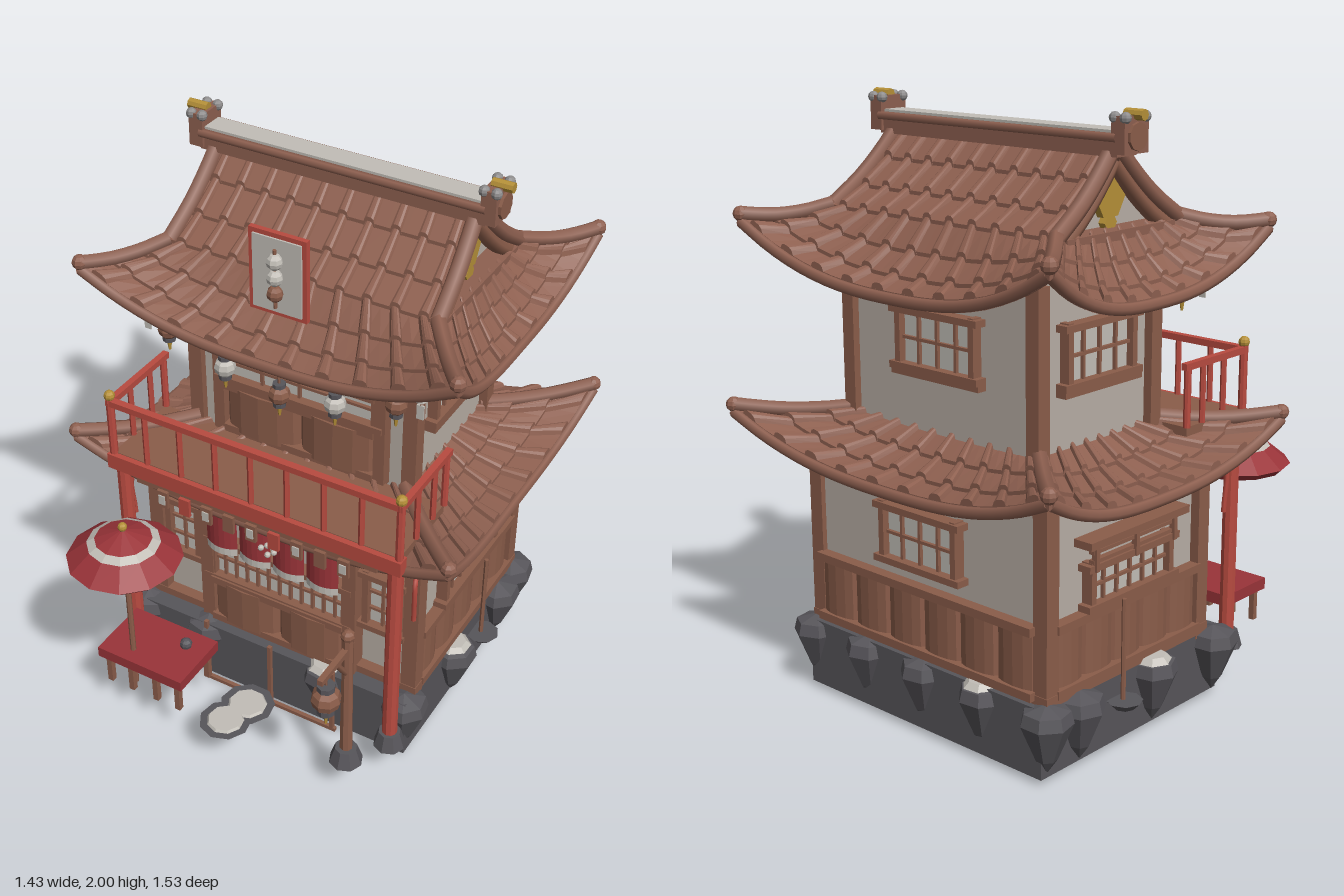
import * as THREE from 'three';

const mat = (name, color, double) => {
  const m = new THREE.MeshStandardMaterial({ color });
  m.name = name;
  if (double) m.side = THREE.DoubleSide;
  return m;
};
const M = {
  roof: mat('roofTile', 0x8e6050, true), wood: mat('wood', 0x8b5d4a), plaster: mat('plaster', 0xb8aea5, true),
  red: mat('redPaint', 0xb84b40), crimson: mat('crimsonCloth', 0x9a3439, true), gold: mat('gold', 0xb59038),
  stone: mat('darkStone', 0x57555a), grey: mat('greyStone', 0x8d8b8b), pale: mat('pale', 0xc2beb7, true),
};
const V = (x, y, z) => new THREE.Vector3(x, y, z);

function flat(geo) {
  const g = geo.index ? geo.toNonIndexed() : geo;
  g.computeVertexNormals();
  return g;
}
function add(parent, name, geo, m, x = 0, y = 0, z = 0) {
  const mesh = new THREE.Mesh(geo, m);
  mesh.name = name;
  mesh.position.set(x, y, z);
  parent.add(mesh);
  return mesh;
}
const group = (parent, name, x = 0, y = 0, z = 0, ry = 0) => {
  const g = new THREE.Group();
  g.name = name; g.position.set(x, y, z); g.rotation.y = ry;
  parent.add(g);
  return g;
};
const box = (p, n, m, w, h, d, x, y, z) => add(p, n, new THREE.BoxGeometry(w, h, d), m, x, y, z);
const ball = (p, n, m, r, x, y, z) => add(p, n, flat(new THREE.SphereGeometry(r, 8, 6)), m, x, y, z);
const cyl = (p, n, m, r0, r1, h, x, y, z, sides = 8) =>
  add(p, n, flat(new THREE.CylinderGeometry(r1, r0, h, sides)), m, x, y, z);
const tube = (p, n, m, pts, r, seg = 8) =>
  add(p, n, new THREE.TubeGeometry(new THREE.CatmullRomCurve3(pts), seg, r, 6), m);
const lathe = (p, n, m, pts, sides, x, y, z) =>
  add(p, n, flat(new THREE.LatheGeometry(pts.map(a => new THREE.Vector2(...a)), sides)), m, x, y, z);

// Flat-shaded sheet through rows of points: f(u, row), u from -1 to 1
function sheet(f, nu, rows) {
  const pos = [], idx = [];
  for (let j = 0; j < rows; j++) for (let i = 0; i <= nu; i++) pos.push(...f(-1 + 2 * i / nu, j).toArray());
  for (let j = 0; j < rows - 1; j++) for (let i = 0; i < nu; i++) {
    const a = j * (nu + 1) + i, b = a + nu + 1;
    idx.push(a, b, a + 1, a + 1, b, b + 1);
  }
  const g = new THREE.BufferGeometry();
  g.setAttribute('position', new THREE.Float32BufferAttribute(pos, 3));
  g.setIndex(idx);
  return flat(g);
}
// Overlapping tile courses: [v, lift], then the underside
const courses = [[0, 0], [.33, .012], [.33, 0], [.67, .012], [.67, 0], [1, .012], [1, -.028], [.5, -.028], [0, -.028]];

// Raised cover tiles in three overlapping, flaring courses down a slope
function coverTiles(p, slope, u, half) {
  for (let c = 0; c < 3; c++) {
    const rows = [[c / 3, 0], [c / 3, .018], [(c + 1) / 3, .032], [(c + 1) / 3, 0]];
    add(p, 'coverTile', sheet((t, j) => slope(u + half * t * (j > 1 ? 1.15 : .85), rows[j][0],
      rows[j][1] * (1 - t ** 4)), 6, 4), M.roof);
  }
}

// Four-sided skirt roof with lifted corners; gableY adds slopes up to a ridge
function skirtRoof(root, name, o) {
  const roof = group(root, name, 0, 0, o.z);
  for (let s = 0; s < 4; s++) {
    const front = s % 2 === 0, side = group(roof, 'roofSide', 0, 0, 0, s * Math.PI / 2);
    const [iw, id, ow, od] = front ? [o.ix, o.iz, o.ox, o.oz] : [o.iz, o.ix, o.oz, o.ox];
    const S = (u, v, lift = 0) => {
      const yo = o.yMid + (o.yCorner - o.yMid) * Math.abs(u) ** 2.5;
      return V((iw + (ow - iw) * v) * u, o.y + (yo - o.y) * (1.3 * v - .3 * v * v) - .016 * Math.sin(Math.PI * v) + lift,
        id + (od - .038 * (1 - u * u) - id) * v);
    };
    const G = (u, v, lift = 0) => V((iw - .02 * (1 - v)) * u, o.gableY + (o.y - o.gableY) * (1.35 * v - .35 * v * v) + lift, id * v);
    add(side, 'tileCourses', sheet((u, j) => S(u, ...courses[j]), 20, courses.length), M.roof);
    const gable = o.gableY && front;
    if (gable) add(side, 'gableSlope', sheet((u, j) => G(u, ...courses[j]), 14, courses.length), M.roof);
    const n = front ? 10 : 9;
    for (let i = 0; i < n; i++) {
      const u = -.9 + 1.8 * i / (n - 1), half = .42 / n;
      coverTiles(side, S, u, half);
      if (gable) coverTiles(side, G, u, half);
    }
    const edge = [];
    for (let i = 0; i <= 12; i++) edge.push(S(-1 + i / 6, 1, -.008));
    tube(side, 'eaveEdge', M.roof, edge, .02, 24);
    tube(side, 'hipRidge', M.roof, [0, .3, .6, .85, 1].map(v => S(1, v, .016)), .025);
    ball(side, 'hipEnd', M.roof, .026, ...S(1, 1, .016).toArray());
    if (gable) for (const u of [-1, 1]) {
      tube(side, 'bargeTile', M.roof, [0, .3, .6, 1].map(v => G(u, v, .012)), .027);
      tube(side, 'bargeBoard', M.wood, [0, .3, .6, 1].map(v => G(u * .98, v, -.04)), .026);
    }
  }
  return roof;
}

// Framed window facing +z
function makeWindow(p, name, x, y, z, ry, w, h, cols, rows) {
  const g = group(p, name, x, y, z, ry);
  box(g, 'pane', M.pale, w, h, .009, 0, 0, .006);
  for (const s of [-1, 1]) {
    box(g, 'jamb', M.wood, .022, h + .03, .04, s * w / 2, 0, .015);
    box(g, 'rail', M.wood, w + .06, .022, .05, 0, s * h / 2, .018);
  }
  for (let i = 1; i < cols; i++) box(g, 'bar', M.wood, .01, h, .02, -w / 2 + w * i / cols, 0, .012);
  for (let i = 1; i < rows; i++) box(g, 'bar', M.wood, w, .01, .02, 0, -h / 2 + h * i / rows, .012);
}
// Row of slightly bowed planks facing +z
function planks(p, name, x, y, z, ry, w, h, n) {
  const g = group(p, name, x, y, z, ry);
  for (let i = 0; i < n; i++) {
    const k = cyl(g, 'plank', M.wood, w / n / 2, w / n / 2, h, -w / 2 + w * (i + .5) / n, 0, 0, 12);
    k.scale.z = .32;
  }
  for (const s of [-1, 1]) box(g, 'plankRail', M.wood, w, .028, .05, 0, s * h / 2, .01);
}
function lantern(p, m, r, x, y, z, cord) {
  const g = group(p, 'lantern', x, y, z);
  ball(g, 'lanternBody', m, r, 0, 0, 0);
  for (const s of [-1, 1]) cyl(g, 'lanternCap', M.stone, r * .6, r * .6, r * .4, 0, s * r, 0);
  cyl(g, 'lanternCord', M.wood, .005, .005, cord, 0, r + cord / 2, 0, 5);
  cyl(g, 'lanternTassel', M.gold, .004, .009, r, 0, -r * 1.7, 0, 6);
}

export function createModel() {
  const root = new THREE.Group();
  root.name = 'teaHouse';

  // Stone base with embedded boulders
  box(root, 'stoneBase', M.stone, 1.05, .23, .88, 0, .135, -.15);
  const boulder = (x, z, i, capped) => {
    const g = group(root, 'boulder', x, 0, z, i);
    lathe(g, 'boulderBody', M.stone, [[0, .03], [.035, .08], [.085, .2], [.075, .24], [0, .262]], 7, 0, 0, 0);
    if (capped) cyl(g, 'boulderCap', M.pale, .065, .045, .02, .005, .252, 0, 7);
  };
  [-.54, -.28, .2, .5].forEach((x, i) => boulder(x, .25, i + 1, i === 2));
  [-.52, -.26, 0, .26, .52].forEach((x, i) => boulder(x, -.56, i, i === 1));
  for (const s of [-1, 1]) [-.06, -.42].forEach((z, i) => boulder(s * .53, z, i + 2, i === 0));

  // Lower storey
  box(root, 'lowerWalls', M.plaster, .99, .65, .74, 0, .565, -.18);
  for (const x of [-.5, .5]) for (const z of [.2, -.54]) box(root, 'lowerPost', M.wood, .055, .66, .055, x, .56, z);
  for (const x of [-.28, .28]) box(root, 'doorPost', M.wood, .05, .66, .06, x, .57, .22);
  box(root, 'sillBeam', M.wood, 1.06, .035, .8, 0, .262, -.17);
  box(root, 'frontBeam', M.wood, 1.04, .06, .06, 0, .87, .22);
  planks(root, 'backPlanks', 0, .38, -.555, Math.PI, .96, .21, 6);
  makeWindow(root, 'backLowerWindow', 0, .65, -.555, Math.PI, .32, .18, 4, 2);
  for (const s of [-1, 1]) {
    const r = s * Math.PI / 2;
    planks(root, 'sidePlanks', s * .5, .38, -.17, r, .7, .21, 5);
    makeWindow(root, 'sideLowerWindow', s * .5, .575, -.17, r, .38, .13, 6, 2);
    const a = group(root, 'sideAwning', s * .53, .72, -.17, r);
    box(a, 'awningTop', M.wood, .48, .025, .07, 0, .005, 0);
    for (const y of [-.03, -.06]) box(a, 'awningSlat', M.wood, .4, .012, .02, 0, y, 0);
    for (const x of [-.19, 0, .19]) box(a, 'awningHanger', M.wood, .015, .1, .02, x, -.04, .01);
    cyl(root, 'sidePole', M.wood, .008, .008, .36, s * .555, .33, -.24, 6);
    cyl(root, 'sidePoleStone', M.stone, .035, .06, .025, s * .56, .16, -.24);
    tube(root, 'sideCord', M.red, [V(s * .52, .81, .24), V(s * .54, .81, .29), V(s * .54, .65, .29)], .009);
    makeWindow(root, 'frontSideWindow', s * .39, .59, .195, 0, .12, .22, 2, 3);
  }

  // Shop front with counter, lattice and curtains
  planks(root, 'counterPlanks', 0, .355, .225, 0, .52, .17, 2);
  makeWindow(root, 'counterLattice', 0, .53, .21, 0, .52, .16, 12, 2);
  for (let i = 0; i < 4; i++) {
    const x = -.195 + .13 * i, bow = (m, n, y, h) => add(root, n, sheet((u, j) =>
      V(x + .06 * u, y + (j ? -h : h) / 2, .275 + .02 * (1 - u * u)), 6, 2), m);
    bow(M.crimson, 'curtain', .725, .17);
    bow(M.pale, 'curtainHem', .626, .028);
  }
  for (const [x, y] of [[-.025, 0], [.025, 0], [0, .02], [0, -.02]]) ball(root, 'curtainBlossom', M.pale, .011, x, .715 + y, .3);
  box(root, 'curtainRod', M.wood, .58, .02, .03, 0, .815, .27);
  box(root, 'flagBeam', M.wood, .9, .03, .03, 0, .895, .37);
  for (let i = 0; i < 9; i++) {
    box(root, 'flag', i % 4 === 1 ? M.red : M.wood, .04, .065, .012, -.34 + .085 * i, .86, .395);
    if (i % 2 === 0) box(root, 'flagPatch', M.pale, .024, .035, .004, -.34 + .085 * i, .86, .403);
  }
  for (const x of [-.26, 0, .25]) box(root, 'frontStake', M.wood, .014, .27, .014, x, .14, .25 + .05);
  box(root, 'frontStakeRail', M.wood, .53, .014, .014, 0, .007, .3);

  // Lower roof
  skirtRoof(root, 'lowerRoof', { z: -.18, ix: .39, iz: .27, ox: .69, oz: .56, y: .98, yMid: .85, yCorner: .985 });

  // Balcony on red columns
  box(root, 'balconyFloor', M.wood, 1.06, .03, .3, 0, .965, .24);
  box(root, 'balconyBeam', M.red, 1.09, .055, .04, 0, .95, .39);
  box(root, 'topRail', M.red, 1.08, .022, .025, 0, 1.18, .39);
  for (let i = 1; i < 8; i++) cyl(root, 'baluster', M.red, .01, .01, .2, -.53 + .1325 * i, 1.08, .39, 6);
  for (const s of [-1, 1]) {
    box(root, 'sideRail', M.red, .022, .022, .32, s * .53, 1.18, .23);
    for (const z of [.17, .28]) cyl(root, 'baluster', M.red, .01, .01, .2, s * .53, 1.08, z, 6);
    cyl(root, 'railPost', M.red, .014, .014, .25, s * .53, 1.07, .39);
    cyl(root, 'railBackPost', M.red, .012, .012, .2, s * .53, 1.08, .09);
    ball(root, 'railFinial', M.gold, .019, s * .53, 1.205, .39);
    cyl(root, 'redColumn', M.red, .026, .026, .77, s * .51, .57, .37, 10);
    cyl(root, 'columnStone', M.stone, .055, .038, .06, s * .51, .17, .37);
  }

  // Upper storey
  box(root, 'upperWalls', M.plaster, .79, .6, .53, 0, 1.25, -.2);
  for (const x of [-.4, .4]) for (const z of [.065, -.465]) box(root, 'upperPost', M.wood, .05, .54, .05, x, 1.23, z);
  for (const x of [-.3, .3]) box(root, 'upperDoorPost', M.wood, .04, .5, .05, x, 1.22, .08);
  planks(root, 'upperFrontPlanks', 0, 1.08, .075, 0, .56, .17, 2);
  makeWindow(root, 'upperFrontWindow', 0, 1.31, .07, 0, .56, .24, 4, 4);
  for (let i = 0; i < 5; i++) box(root, 'upperFrontSlat', M.wood, .56, .022, .02, 0, 1.3 + .03 * i, .1);
  box(root, 'upperFrontBeam', M.wood, .84, .04, .05, 0, 1.46, .08);
  makeWindow(root, 'backUpperWindow', 0, 1.27, -.465, Math.PI, .32, .18, 4, 2);
  for (const s of [-1, 1]) {
    makeWindow(root, 'sideUpperWindow', s * .395, 1.27, -.2, s * Math.PI / 2, .3, .18, 4, 2);
    box(root, 'sideUpperSill', M.wood, .05, .02, .36, s * .41, 1.16, -.2);
  }
  box(root, 'backUpperSill', M.wood, .38, .02, .05, 0, 1.16, -.475);

  // Upper roof with recessed gable ends and ridge
  const top = skirtRoof(root, 'upperRoof', { z: -.19, ix: .475, iz: .28, ox: .655, oz: .51, y: 1.635, yMid: 1.445, yCorner: 1.61, gableY: 1.875 });
  const tri = new THREE.Shape([[-.27, 1.61], [.27, 1.61], [.12, 1.72], [0, 1.86], [-.12, 1.72]].map(a => new THREE.Vector2(...a)));
  box(top, 'ridgeBase', M.roof, 1, .06, .09, 0, 1.885, 0);
  box(top, 'ridgeCap', M.pale, .98, .02, .08, 0, 1.922, 0);
  for (const z of [-.048, .048]) tube(top, 'ridgeTile', M.roof, [V(-.5, 1.912, z), V(.5, 1.912, z)], .014);
  for (const s of [-1, 1]) {
    const end = group(top, 'gableEnd', 0, 0, 0, s * Math.PI / 2);
    add(end, 'gablePanel', new THREE.ShapeGeometry(tri), M.plaster, 0, 0, .41);
    box(end, 'gableSill', M.roof, .5, .03, .09, 0, 1.625, .445);
    for (const [r, y] of [[.066, 1.73], [.028, 1.655]])
      cyl(end, 'gableOrnament', M.gold, r, r, .025, 0, y, .43, 6).rotation.set(Math.PI / 2, Math.PI / 6, 0);
    box(end, 'ridgeEnd', M.roof, .11, .11, .05, 0, 1.92, .51);
    cyl(end, 'ridgeDisc', M.wood, .042, .042, .03, 0, 1.915, .53, 10).rotation.x = Math.PI / 2;
    cyl(end, 'ridgeFinial', M.gold, .017, .017, .07, 0, 1.978, .53).rotation.x = Math.PI / 2;
    for (const x of [-.045, .045]) for (const z of [.49, .53]) ball(end, 'ridgeBead', M.grey, .018, x, 1.97, z);
  }

  // Roof sign with dumplings on a stick
  box(root, 'signBoard', M.red, .2, .28, .018, 0, 1.72, .2);
  box(root, 'signFace', M.pale, .17, .25, .008, 0, 1.72, .211);
  box(root, 'signBracket', M.roof, .03, .02, .08, 0, 1.6, .155);
  cyl(root, 'skewer', M.wood, .006, .006, .2, 0, 1.715, .225, 6);
  [M.pale, M.pale, M.wood].forEach((m, i) => ball(root, 'dumpling', m, .027, 0, 1.775 - .055 * i, .225));

  // Eave lanterns and chimes
  for (const x of [-.41, .41]) lantern(root, M.wood, .036, x, 1.4, .21, .08);
  for (const x of [-.2, .2]) lantern(root, M.pale, .036, x, 1.325, .21, .13);
  lantern(root, M.wood, .036, 0, 1.29, .21, .16);
  for (const x of [-.49, .49]) {
    cyl(root, 'chimeBell', M.pale, .018, .013, .04, x, 1.46, .21);
    box(root, 'chimeTag', M.pale, .024, .05, .006, x, 1.4, .21);
    cyl(root, 'chimeCord', M.wood, .003, .003, .15, x, 1.46, .21, 5);
  }

  // Parasol and bench
  const par = group(root, 'parasol', -.38, 0, .57);
  lathe(par, 'parasolCrown', M.crimson, [[0, .84], [.095, .803]], 12, 0, 0, 0);
  lathe(par, 'parasolBand', M.pale, [[.095, .803], [.122, .787]], 12, 0, 0, 0);
  lathe(par, 'parasolBrim', M.crimson, [[.122, .787], [.193, .73], [.17, .708], [0, .735]], 12, 0, 0, 0);
  cyl(par, 'parasolPole', M.wood, .01, .01, .69, 0, .5, 0);
  ball(par, 'parasolKnob', M.gold, .016, 0, .85, 0);
  box(root, 'benchSeat', M.crimson, .34, .04, .23, -.32, .285, .51);
  for (const x of [-.46, -.37, -.27, -.18]) for (const z of [.42, .6]) box(root, 'benchLeg', M.wood, .02, .12, .02, x, .21, z);
  ball(root, 'teapot', M.stone, .022, -.23, .32, .47);

  // Stepping stones
  for (const [x, z, r] of [[.02, .48, .095], [-.005, .58, .09]]) {
    cyl(root, 'steppingStone', M.stone, r * .5, r, .022, x, .155, z, 9);
    cyl(root, 'stoneTop', M.pale, r * .72, r * .65, .009, x, .17, z, 9);
  }

  // Lamp post
  cyl(root, 'lampBase', M.stone, .058, .038, .06, .42, .17, .505);
  cyl(root, 'lampPost', M.wood, .022, .018, .52, .42, .45, .505);
  ball(root, 'lampPostCap', M.wood, .024, .42, .7, .505);
  box(root, 'lampArm', M.wood, .02, .02, .2, .42, .645, .58);
  tube(root, 'lampBrace', M.wood, [V(.42, .54, .51), V(.42, .64, .58)], .01);
  lantern(root, M.wood, .05, .42, .545, .64, .06);
  return root;
}
